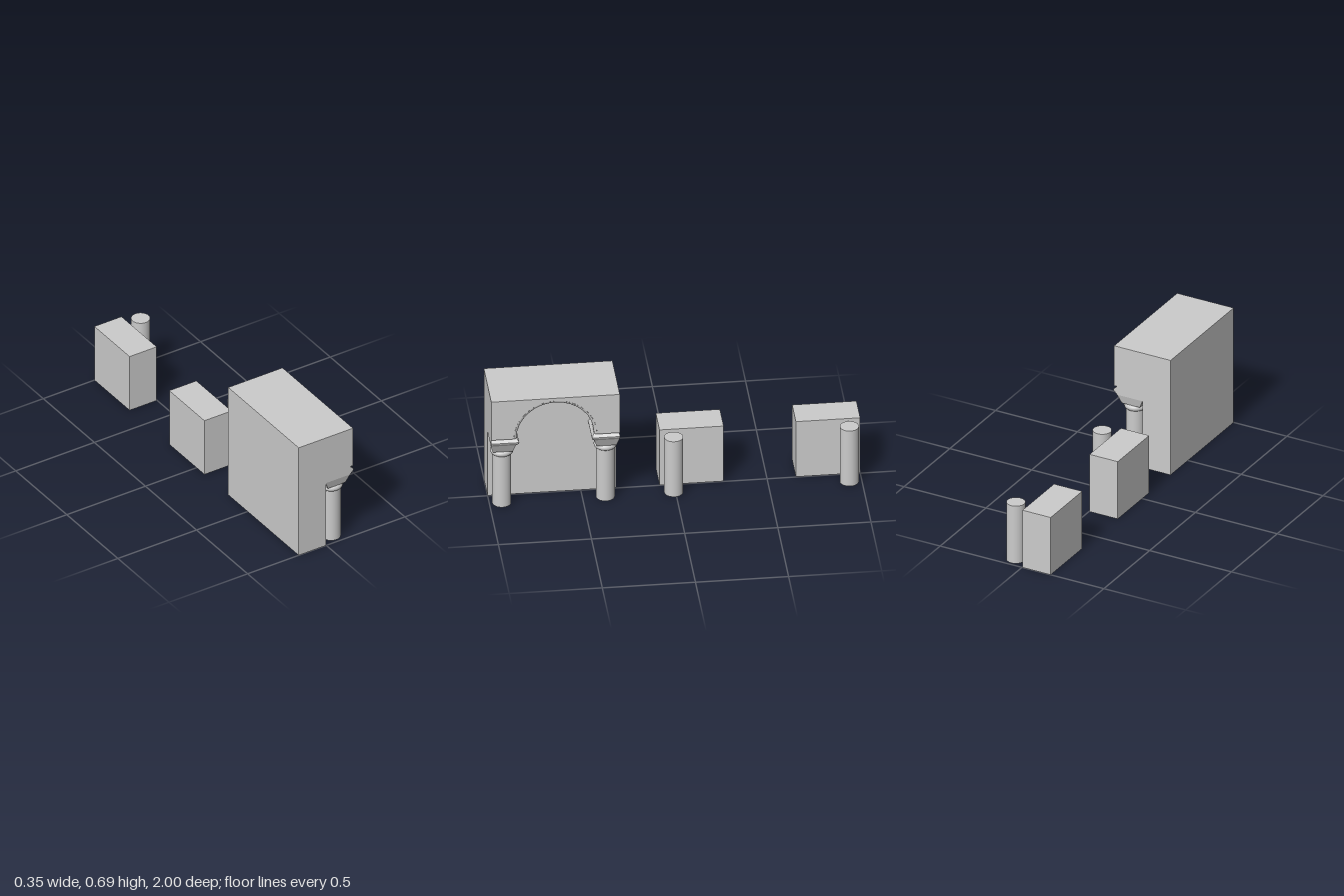
import * as THREE from 'three';

const WALL_BACK = -0.175, WALL_FACE = -0.003, FRONT = 0.17;
const COLUMN_X = 0.075, COLUMN_R = 0.051, INSET = 0.067;
const SPRING = 0.45, TOP = 0.69, HALF = 0.345, BAY_Z = 0.655;
const ARCH_R = 0.208, ROUND = 0.015;

const material = new THREE.MeshStandardMaterial({ color: 0xcccccc });
const flatMaterial = new THREE.MeshStandardMaterial({ color: 0xcccccc, flatShading: true });
const openMaterial = new THREE.MeshStandardMaterial({ color: 0xcccccc, side: THREE.DoubleSide });

function add(parent, name, geometry, mat = material) {
  const mesh = new THREE.Mesh(geometry, mat);
  mesh.name = name;
  parent.add(mesh);
  return mesh;
}

function wallBlock(parent, name, z0, z1, height) {
  const depth = WALL_FACE - WALL_BACK;
  add(parent, name, new THREE.BoxGeometry(depth, height, z1 - z0))
    .position.set(WALL_BACK + depth / 2, height / 2, (z0 + z1) / 2);
}

function columnShaft(parent, z, height) {
  add(parent, 'columnShaft', new THREE.CylinderGeometry(COLUMN_R, COLUMN_R, height, 32))
    .position.set(COLUMN_X, height / 2, z);
}

// Loft through rectangles given as [y, x0, x1, z0, z1], from bottom to top
function rectangleLoft(rings) {
  const positions = [], index = [];
  for (const [y, x0, x1, z0, z1] of rings) {
    positions.push(x0, y, z1, x1, y, z1, x1, y, z0, x0, y, z0);
  }
  for (let r = 0; r < rings.length - 1; r++) {
    for (let i = 0; i < 4; i++) {
      const a = r * 4 + i, b = r * 4 + (i + 1) % 4;
      index.push(a, b, b + 4, a, b + 4, a + 4);
    }
  }
  const t = (rings.length - 1) * 4;
  index.push(0, 2, 1, 0, 3, 2, t, t + 1, t + 2, t, t + 2, t + 3);
  const geometry = new THREE.BufferGeometry();
  geometry.setAttribute('position', new THREE.Float32BufferAttribute(positions, 3));
  geometry.setIndex(index);
  const flat = geometry.toNonIndexed();
  flat.computeVertexNormals();
  return flat;
}

// Tapered capital whose pointed moulding wraps the front and the arch side
function capital(parent, z, inward) {
  const side = (inner, outer) => [z + inward * inner, z - inward * outer].sort((a, b) => a - b);
  add(parent, 'capital', rectangleLoft([
    [0.35, 0.02, 0.13, ...side(0.054, 0.054)],
    [0.40, WALL_FACE, 0.152, ...side(INSET, INSET)],
    [0.421, WALL_FACE, 0.172, ...side(0.082, INSET)],
    [0.429, WALL_FACE, 0.174, ...side(0.083, INSET)],
    [SPRING, WALL_FACE, 0.152, ...side(INSET, INSET)],
  ]), flatMaterial);
}

function archBay() {
  const bay = new THREE.Group();
  bay.name = 'archBay';
  wallBlock(bay, 'backWall', BAY_Z - HALF, BAY_Z + HALF, TOP);

  // Wall above the arch
  const r = ARCH_R + ROUND;
  const shape = new THREE.Shape();
  shape.moveTo(-HALF, SPRING);
  shape.lineTo(-r, SPRING);
  shape.absarc(0, SPRING, r, Math.PI, 0, true);
  shape.lineTo(HALF, SPRING);
  shape.lineTo(HALF, TOP);
  shape.lineTo(-HALF, TOP);
  const spandrel = new THREE.ExtrudeGeometry(shape, {
    depth: FRONT - WALL_FACE, bevelEnabled: false, curveSegments: 16,
  });
  spandrel.rotateY(Math.PI / 2);
  add(bay, 'spandrel', spandrel).position.set(WALL_FACE, 0, BAY_Z);

  // Arch underside with a softly rounded front edge
  const profile = [];
  for (let i = 0; i <= 4; i++) {
    const a = (i / 4) * Math.PI / 2;
    profile.push(new THREE.Vector2(r - ROUND * Math.sin(a), FRONT - ROUND * (1 - Math.cos(a))));
  }
  profile.push(new THREE.Vector2(ARCH_R, WALL_FACE));
  const soffit = new THREE.LatheGeometry(profile, 16, Math.PI, Math.PI);
  soffit.rotateZ(-Math.PI / 2);
  add(bay, 'archSoffit', soffit, openMaterial).position.set(0, SPRING, BAY_Z);

  // Pair of columns
  for (const s of [-1, 1]) {
    const z = BAY_Z + s * (HALF - INSET);
    columnShaft(bay, z, 0.345);
    const collar = new THREE.TorusGeometry(0.0445, 0.018, 12, 32);
    collar.rotateX(Math.PI / 2);
    add(bay, 'columnCollar', collar).position.set(COLUMN_X, 0.332, z);
    capital(bay, z, -s);
  }
  return bay;
}

export function createModel() {
  const model = new THREE.Group();
  model.name = 'arcade';
  model.add(archBay());

  // Low wall pieces, each with one free column
  const pieces = [
    { z0: -0.267, z1: 0.077, columnZ: 0.01 },
    { z0: -1, z1: -0.655, columnZ: -1 + INSET },
  ];
  for (const { z0, z1, columnZ } of pieces) {
    const piece = new THREE.Group();
    piece.name = 'lowWallPiece';
    wallBlock(piece, 'lowWall', z0, z1, 0.345);
    columnShaft(piece, columnZ, 0.345);
    model.add(piece);
  }
  return model;
}
